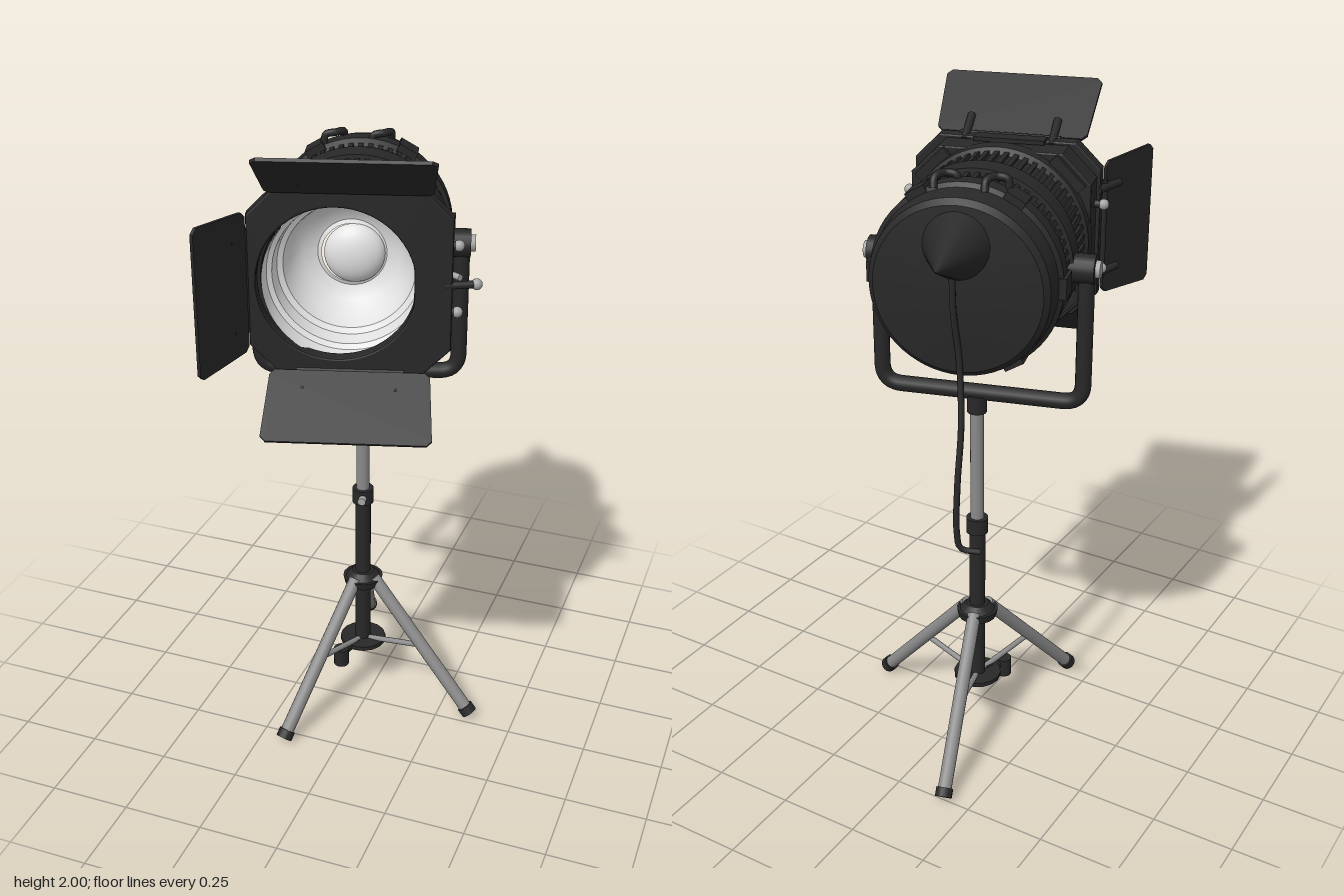
import * as THREE from 'three';
import { toCreasedNormals } from 'three/addons/utils/BufferGeometryUtils.js';

const V = (x, y, z) => new THREE.Vector3(x, y, z);

export function createModel() {
  const mat = (name, color, extra = {}) => {
    const m = new THREE.MeshStandardMaterial({ color, ...extra });
    m.name = name;
    return m;
  };
  const black = mat('black housing', 0x282828);
  const steel = mat('steel tube', 0x8a8a8a);
  const bright = mat('bright knob', 0xa6a6a6);
  const white = mat('reflector white', 0xe2e2e2, { side: THREE.DoubleSide });

  const model = new THREE.Group();
  model.name = 'studioLight';
  const add = (parent, name, geo, material, x = 0, y = 0, z = 0) => {
    const m = new THREE.Mesh(geo, material);
    m.name = name;
    m.position.set(x, y, z);
    parent.add(m);
    return m;
  };
  // Round bar between two points
  const bar = (parent, name, a, b, r, material, r2 = r) => {
    const m = add(parent, name, new THREE.CylinderGeometry(r2, r, a.distanceTo(b), 16), material);
    m.position.copy(a).lerp(b, 0.5);
    m.quaternion.setFromUnitVectors(V(0, 1, 0), b.clone().sub(a).normalize());
    return m;
  };
  const tube = (parent, name, pts, r, material, seg = 48) =>
    add(parent, name, new THREE.TubeGeometry(new THREE.CatmullRomCurve3(pts), seg, r, 10), material);
  // Profile of [radius, forward] points turned around the lamp axis
  const turned = (pts, seg = 64) => toCreasedNormals(
    new THREE.LatheGeometry(pts.map(p => new THREE.Vector2(p[0], p[1])), seg).rotateX(Math.PI / 2), 0.6);

  // ---- Tripod stand ----
  const stand = new THREE.Group();
  stand.name = 'stand';
  stand.position.set(-0.042, 0, -0.098);
  model.add(stand);
  bar(stand, 'lowerPole', V(0, 0.17, 0), V(0, 0.73, 0), 0.025, black);
  bar(stand, 'upperPole', V(0, 0.72, 0), V(0, 1.14, 0), 0.021, steel);
  bar(stand, 'poleCollar', V(0, 0.715, 0), V(0, 0.765, 0), 0.034, black);
  bar(stand, 'collarScrew', V(0.01, 0.74, 0.03), V(0.013, 0.74, 0.05), 0.013, bright);
  bar(stand, 'spigot', V(0, 1.125, 0), V(0, 1.18, 0), 0.03, black);
  bar(stand, 'legHub', V(0, 0.41, 0), V(0, 0.435, 0), 0.06, black, 0.065);
  bar(stand, 'legHubTop', V(0, 0.435, 0), V(0, 0.455, 0), 0.055, black, 0.035);
  bar(stand, 'braceDisc', V(0, 0.178, 0), V(0, 0.192, 0), 0.075, black);
  for (const [x, z] of [[0.4, 0.068], [-0.125, 0.4], [-0.125, -0.41]]) {
    const foot = V(x, 0.022, z);
    const top = V(x, 0, z).setLength(0.04).setY(0.435);
    const at = f => top.clone().lerp(foot, f);
    bar(stand, 'leg', top, at(0.96), 0.021, steel);
    bar(stand, 'foot', at(0.95), foot, 0.026, black);
    bar(stand, 'legBrace', V(0, 0.185, 0), at(0.5), 0.009, steel);
  }
  // Brace locking knob
  bar(stand, 'lockArm', V(-0.01, 0.185, 0.03), V(-0.04, 0.175, 0.1), 0.014, black);
  bar(stand, 'lockKnob', V(-0.04, 0.135, 0.1), V(-0.04, 0.195, 0.1), 0.025, black);

  // ---- Lamp head, turned towards its left ----
  const head = new THREE.Group();
  head.name = 'head';
  head.position.set(-0.053, 1.6, -0.092);
  head.rotation.y = 0.285;
  model.add(head);

  // Yoke
  const h = 0.302, low = -0.412;
  const path = new THREE.CurvePath();
  const bend = 0.06;
  path.add(new THREE.LineCurve3(V(-h, 0, 0), V(-h, low + bend, 0)));
  path.add(new THREE.QuadraticBezierCurve3(V(-h, low + bend, 0), V(-h, low, 0), V(-h + bend, low, 0)));
  path.add(new THREE.LineCurve3(V(-h + bend, low, 0), V(h - bend, low, 0)));
  path.add(new THREE.QuadraticBezierCurve3(V(h - bend, low, 0), V(h, low, 0), V(h, low + bend, 0)));
  path.add(new THREE.LineCurve3(V(h, low + bend, 0), V(h, 0, 0)));
  add(head, 'yoke', new THREE.TubeGeometry(path, 120, 0.024, 12), black);
  for (const s of [-1, 1]) {
    bar(head, 'yokePivot', V(s * 0.25, 0, 0), V(s * 0.328, 0, 0), 0.042, black);
    bar(head, 'pivotBolt', V(s * 0.325, 0, 0), V(s * 0.342, 0, 0), 0.025, bright);
  }

  // Drum with rear cap, centre band and front collar
  add(head, 'drum', turned([
    [0, -0.272], [0.12, -0.268], [0.236, -0.256], [0.252, -0.24], [0.26, -0.175], [0.272, -0.165],
    [0.272, -0.115], [0.25, -0.105], [0.25, -0.036], [0.271, -0.034], [0.271, 0.044], [0.25, 0.046],
    [0.25, 0.175], [0.27, 0.185], [0.272, 0.23], [0.24, 0.235]]), black);
  const ribs = 56;
  for (let i = 0; i < ribs; i++) {
    const a = i / ribs * Math.PI * 2;
    for (const [z, len] of [[0.112, 0.135], [-0.07, 0.07]]) {
      const rib = add(head, 'coolingRib', new THREE.BoxGeometry(0.014, 0.018, len), black,
        Math.sin(a) * 0.251, Math.cos(a) * 0.251, z);
      rib.rotation.z = -a;
    }
  }
  for (let i = 0; i < 6; i++) {
    const a = (i + 0.5) / 6 * Math.PI * 2;
    const lug = add(head, 'capLug', new THREE.BoxGeometry(0.06, 0.025, 0.07), black,
      Math.sin(a) * 0.268, Math.cos(a) * 0.268, -0.14);
    lug.rotation.z = -a;
  }
  // Rear cone and small top handles
  add(head, 'rearCone', new THREE.ConeGeometry(0.105, 0.225, 40).rotateX(-Math.PI / 2), black, 0, 0.125, -0.349);
  for (const x of [-0.075, 0.065]) {
    tube(head, 'topHook', [V(x - 0.035, 0.25, -0.125), V(x - 0.03, 0.277, -0.125), V(x, 0.283, -0.13),
      V(x + 0.02, 0.278, -0.16), V(x + 0.02, 0.25, -0.175)], 0.011, black, 20);
  }

  // Front housing: octagon with chamfered corners
  const octagon = (w, t, c) => new THREE.Shape([[w, -t + c], [w, t - c], [w - c, t], [c - w, t],
    [-w, t - c], [-w, c - t], [c - w, -t], [w - c, -t]].map(p => new THREE.Vector2(...p)));
  const frame = (name, shape, hole, z, depth) => {
    shape.holes.push(new THREE.Path(hole));
    add(head, name, new THREE.ExtrudeGeometry(shape, { depth, bevelSize: 0.006, bevelThickness: 0.006,
      bevelSegments: 2, bevelOffset: -0.006 }), black, 0, 0, z);
  };
  const ring = (cx, r, limit) => Array.from({ length: 64 }, (_, i) => {
    const a = -i / 64 * Math.PI * 2;
    return new THREE.Vector2(Math.min(limit, cx + r * Math.cos(a)), -0.005 + r * Math.sin(a));
  });
  frame('frontHousing', octagon(0.268, 0.255, 0.085), ring(-0.012, 0.235, 1), 0.222, 0.08);
  frame('frontFrame', octagon(0.28, 0.266, 0.075), ring(-0.038, 0.22, 0.176), 0.305, 0.032);
  for (let i = 0; i < 4; i++) {
    const a = Math.PI / 4 + i * Math.PI / 2;
    const pad = add(head, 'cornerBracket', new THREE.BoxGeometry(0.12, 0.03, 0.1), black,
      Math.sin(a) * 0.282, Math.cos(a) * 0.282, 0.25);
    pad.rotation.z = -a;
  }
  for (const s of [-1, 1]) {
    add(head, 'hingePanel', new THREE.BoxGeometry(0.21, 0.012, 0.05), black, -0.01, s * 0.265, 0.295);
    for (const y of [0.095, -0.1]) {
      bar(head, 'sideScrewStem', V(s * 0.26, y, 0.28), V(s * 0.285, y, 0.28), 0.012, black);
      add(head, 'sideScrew', new THREE.SphereGeometry(0.016, 14, 10), bright, s * 0.294, y, 0.28);
    }
  }
  // Side latch lever
  bar(head, 'latchArm', V(0.26, 0, 0.335), V(0.34, 0, 0.32), 0.011, black);
  bar(head, 'latchRod', V(0.25, 0.01, 0.25), V(0.3, 0.01, 0.3), 0.009, bright);
  add(head, 'latchKnob', new THREE.SphereGeometry(0.016, 14, 10), bright, 0.345, 0, 0.318);

  // Stepped reflector bowl with a domed lamp in the middle
  add(head, 'reflector', turned([[0.233, 0.322], [0.226, 0.265], [0.212, 0.255], [0.204, 0.205],
    [0.188, 0.195], [0.172, 0.14], [0.14, 0.1], [0.1, 0.085], [0.088, 0.09]]), white, -0.012, -0.005, 0);
  add(head, 'lampDome', new THREE.SphereGeometry(0.088, 40, 14, 0, Math.PI * 2, 0, Math.PI / 2)
    .rotateX(Math.PI / 2).scale(1, 1, 0.55), white, -0.005, -0.005, 0.088);

  // Barn doors: top, bottom and right, each on two hinge arms
  const barnDoor = (name, turn, offset, lean, half, length) => {
    const g = new THREE.Group();
    g.name = name;
    g.rotation.z = turn;
    head.add(g);
    const c = 0.015, a = half - 0.012;
    const shape = new THREE.Shape([[-a + c, 0], [a - c, 0], [a, c], [half, length - c], [half - c, length],
      [c - half, length], [-half, length - c], [-a, c]].map(p => new THREE.Vector2(...p)));
    const leaf = add(g, name + 'Leaf', new THREE.ExtrudeGeometry(shape, { depth: 0.01, bevelEnabled: false }),
      black, 0, offset, 0.345);
    leaf.rotation.x = lean;
    for (const s of [-1, 1]) {
      bar(g, 'hingeArm', V(s * 0.13, offset - 0.015, 0.3),
        V(s * 0.13, offset + Math.cos(lean) * 0.06, 0.345 + Math.sin(lean) * 0.06), 0.012, black);
    }
    bar(g, 'hingePin', V(-0.15, offset - 0.003, 0.338), V(0.15, offset - 0.003, 0.338), 0.009, black);
  };
  barnDoor('topDoor', 0, 0.265, 0.895, 0.237, 0.22);
  barnDoor('bottomDoor', Math.PI, 0.265, 0.895, 0.237, 0.22);
  barnDoor('rightDoor', Math.PI / 2, 0.288, 1.05, 0.215, 0.215);

  // Hanging power cable
  tube(model, 'cable', [V(-0.13, 1.66, -0.37), V(-0.13, 1.55, -0.365), V(-0.135, 1.4, -0.345), V(-0.155, 1.22, -0.37),
    V(-0.16, 1.05, -0.4), V(-0.16, 0.9, -0.405), V(-0.17, 0.85, -0.4), V(-0.22, 0.84, -0.375)], 0.009, black, 64);

  return model;
}
